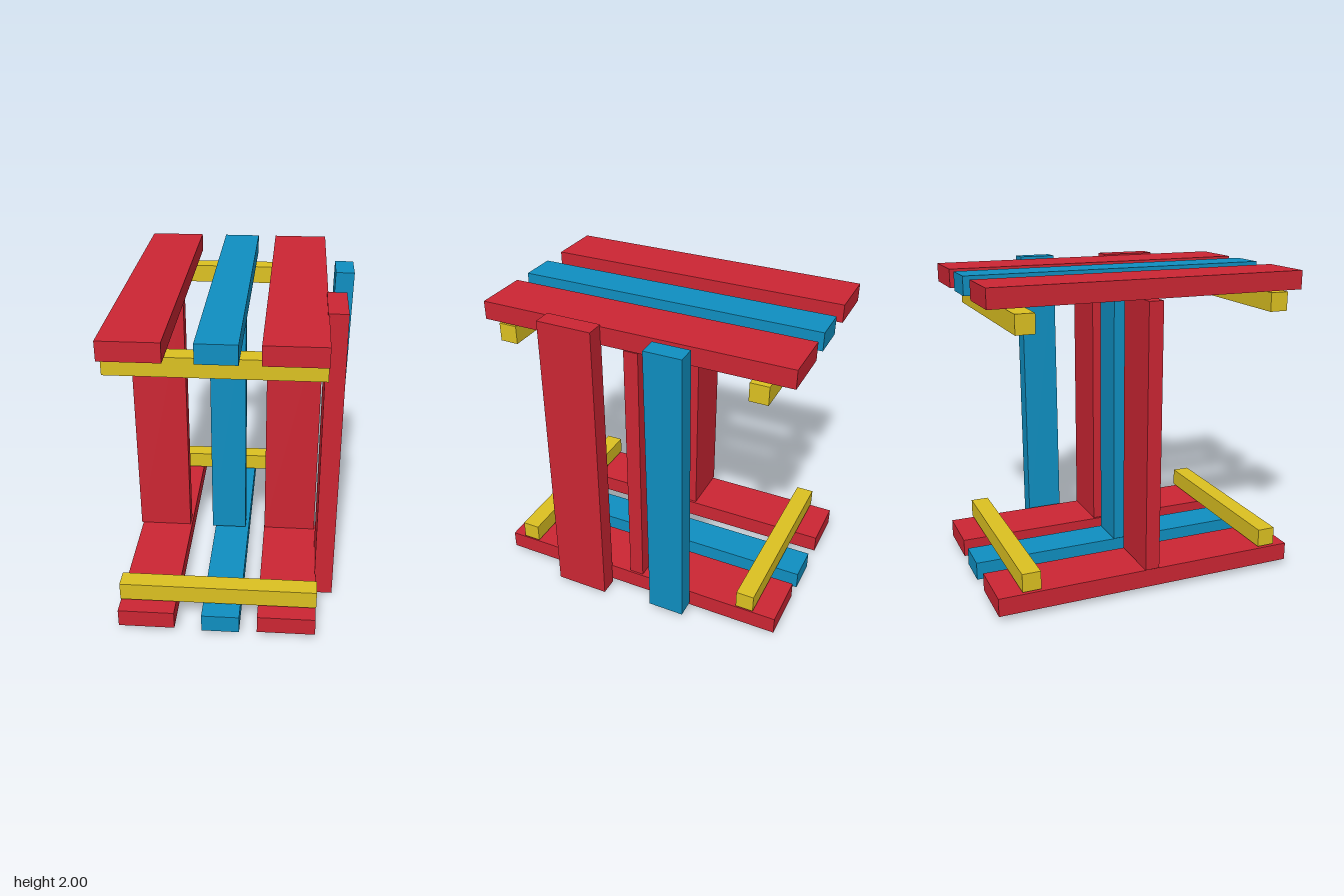
import * as THREE from 'three';

const material = (color) => new THREE.MeshStandardMaterial({ color, flatShading: true });

export function createModel() {
  const group = new THREE.Group();
  const red = material(0xcc2633);
  const blue = material(0x0f8fc1);
  const yellow = material(0xdcc121);

  // Box spanning the given [min, max] ranges
  function plank(name, mat, x, y, z) {
    const size = [x, y, z].map(([a, b]) => b - a);
    const mesh = new THREE.Mesh(new THREE.BoxGeometry(...size), mat);
    mesh.position.set(...[x, y, z].map(([a, b]) => (a + b) / 2));
    mesh.name = name;
    group.add(mesh);
    return mesh;
  }

  // Three columns of boards: top, bottom and upright middle wall
  const columns = [
    { side: 'right', mat: red, top: [-0.705, -0.35], bottom: [-0.705, -0.35], wall: [-0.715, -0.36], drop: 0 },
    { side: 'centre', mat: blue, top: [-0.178, 0.06], bottom: [-0.178, 0.06], wall: [-0.198, 0.038], drop: 0.01 },
    { side: 'left', mat: red, top: [0.182, 0.54], bottom: [0.172, 0.537], wall: [0.175, 0.53], drop: 0 },
  ];
  for (const { side, mat, top, bottom, wall, drop } of columns) {
    plank(`${side}TopBoard`, mat, top, [1.872, 1.99], [-1, 1]);
    plank(`${side}BottomBoard`, mat, bottom, [0.035 - drop, 0.152 - drop], [-1, 1]);
    plank(`${side}Upright`, mat, wall, [0.158 - drop / 2, 1.862 - drop / 2], [-0.045, 0.049]);
  }

  // Cross battens, front and back
  plank('frontTopBatten', yellow, [-0.705, 0.54], [1.745, 1.863], [0.785, 0.902]);
  plank('backTopBatten', yellow, [-0.718, 0.527], [1.724, 1.842], [-0.85, -0.732]);
  plank('frontBottomBatten', yellow, [-0.705, 0.54], [0.166, 0.284], [0.785, 0.902]);
  plank('backBottomBatten', yellow, [-0.705, 0.54], [0.166, 0.284], [-0.85, -0.732]);

  // Two loose posts standing at the left side, one leaning slightly
  plank('wideSidePost', red, [0.532, 0.652], [0, 2], [0.192, 0.55]);
  const leaning = plank('leaningSidePost', blue, [0.578, 0.697], [0.072, 2], [-0.41, -0.172]);
  leaning.rotation.z = -0.018;

  return group;
}
